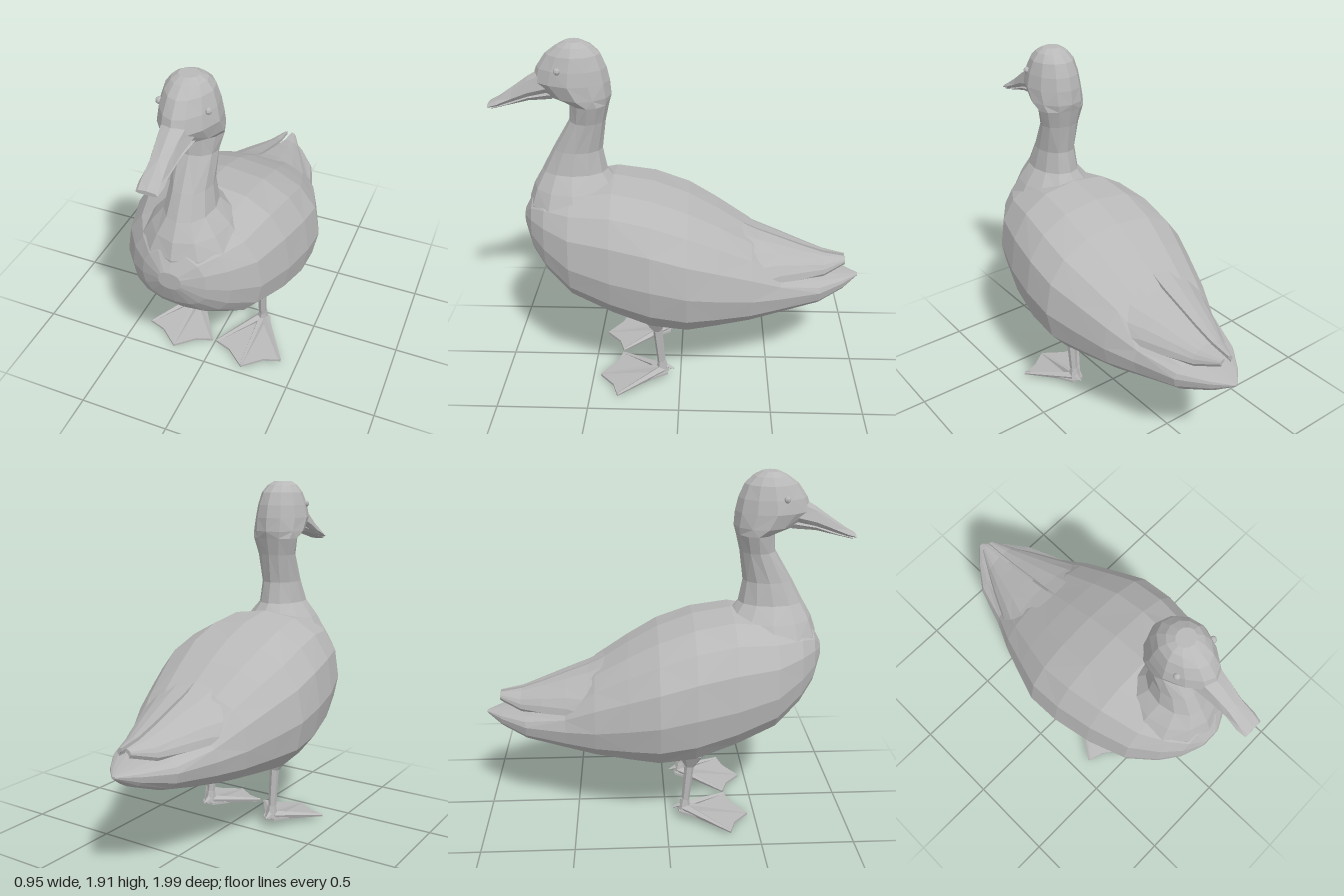
import * as THREE from 'three';

const V = (x, y, z) => new THREE.Vector3(x, y, z);
const plumage = new THREE.MeshStandardMaterial({ color: 0xb8b8b8, flatShading: true });
plumage.name = 'plain grey';

// Closed skin through a list of rings, turned so its faces point outward
function loft(rings) {
  const n = rings[0].length, pts = rings.flat(), idx = [];
  for (let r = 0; r < rings.length - 1; r++) {
    for (let i = 0; i < n; i++) {
      const a = r * n + i, b = r * n + (i + 1) % n;
      // alternate the diagonals for a faceted look
      if ((r + i) % 2) idx.push(a, b, a + n, b, b + n, a + n);
      else idx.push(a, b, b + n, a, b + n, a + n);
    }
  }
  const cap = (r, flip) => {
    const c = pts.length;
    pts.push(rings[r].reduce((s, p) => s.add(p), V(0, 0, 0)).divideScalar(n));
    for (let i = 0; i < n; i++) {
      const a = r * n + i, b = r * n + (i + 1) % n;
      idx.push(c, flip ? b : a, flip ? a : b);
    }
  };
  cap(0, true);
  cap(rings.length - 1, false);
  let volume = 0;
  for (let i = 0; i < idx.length; i += 3) {
    volume += pts[idx[i]].dot(pts[idx[i + 1]].clone().cross(pts[idx[i + 2]]));
  }
  if (volume < 0) idx.reverse();
  const g = new THREE.BufferGeometry().setFromPoints(pts);
  g.setIndex(idx);
  g.computeVertexNormals();
  return g;
}

const angles = (n) => Array.from({ length: n }, (_, i) => (i / n) * Math.PI * 2);
const power = (v, e) => Math.sign(v) * Math.abs(v) ** e;

// Upright ring across z: top, bottom, height of the widest point, half width
const ringZ = ([z, top, bottom, mid, hw], n = 16, e = 0.85) => angles(n).map((a) => {
  const s = power(Math.sin(a), e);
  return V(hw * power(Math.cos(a), e), mid + s * (s > 0 ? top - mid : mid - bottom), z);
});

// Level ring across y: front z, back z, half width, narrowing towards the front
const ringY = ([y, front, back, hw, taper], n = 12) => angles(n).map((a) => {
  const s = Math.sin(a);
  return V(hw * Math.cos(a) * (1 - taper * Math.max(0, s)), y, (front + back) / 2 + s * (front - back) / 2);
});

function add(parent, name, geometry) {
  const m = new THREE.Mesh(geometry, plumage);
  m.name = name;
  parent.add(m);
  return m;
}

// Tapered four-to-six-sided rod between two points
function rod(parent, name, a, b, ra, rb, sides = 5) {
  const m = add(parent, name, new THREE.CylinderGeometry(rb, ra, a.distanceTo(b), sides));
  m.position.copy(a).lerp(b, 0.5);
  m.quaternion.setFromUnitVectors(V(0, 1, 0), b.clone().sub(a).normalize());
  return m;
}

// Thin folded wing half lying over the back
function wingGeometry(side) {
  const sections = [ // z, spine height, edge height, half width
    [-0.3, 0.92, 0.62, 0.37], [-0.42, 0.865, 0.62, 0.32], [-0.54, 0.82, 0.65, 0.245],
    [-0.67, 0.77, 0.655, 0.175], [-0.79, 0.73, 0.65, 0.105], [-0.91, 0.71, 0.685, 0.03],
  ];
  return loft(sections.map(([z, top, edge, hw]) => {
    const upper = [], lower = [];
    for (let i = 0; i <= 5; i++) {
      const a = (i / 5) * Math.PI / 2;
      const x = 0.006 + 0.012 * (-0.3 - z) + hw * Math.sin(a) * 0.96;
      const y = edge + (top - edge) * Math.cos(a);
      upper.push(V(side * x, y, z));
      lower.unshift(V(side * (x - 0.012 * Math.sin(a)), y - 0.018, z));
    }
    return [...upper, ...lower];
  }));
}

function makeLeg(side) {
  const leg = new THREE.Group();
  leg.name = side > 0 ? 'leftLeg' : 'rightLeg';
  leg.position.x = side * 0.21;

  rod(leg, 'thigh', V(0, 0.42, 0.14), V(0, 0.33, 0.13), 0.085, 0.03, 6);
  rod(leg, 'shank', V(0, 0.36, 0.13), V(0, 0.09, 0.105), 0.027, 0.022, 6);
  rod(leg, 'ankle', V(0, 0.12, 0.105), V(0, 0.05, 0.1), 0.024, 0.038, 6);
  rod(leg, 'hindToe', V(0, 0.085, 0.09), V(0, 0.062, 0.035), 0.018, 0.004, 4);

  // webbing with a scalloped front edge, sloping down to the toes
  const web = new THREE.Shape([
    [-0.035, 0.07], [0.035, 0.07], [0.1, 0.22], [0.2, 0.345], [0.105, 0.375],
    [0, 0.46], [-0.105, 0.375], [-0.2, 0.345], [-0.1, 0.22],
  ].map(([x, z]) => new THREE.Vector2(x, z)));
  const g = new THREE.ExtrudeGeometry(web, { depth: 0.014, bevelEnabled: false });
  const p = g.attributes.position;
  for (let i = 0; i < p.count; i++) {
    const z = p.getY(i);
    p.setXYZ(i, -p.getX(i), 0.046 - 0.118 * (z - 0.07) + p.getZ(i), z);
  }
  g.computeVertexNormals();
  add(leg, 'web', g);

  for (const [x, z, y] of [[0, 0.455, 0.01], [0.195, 0.345, 0.023], [-0.195, 0.345, 0.023]]) {
    rod(leg, 'toe', V(x * 0.05, 0.066, 0.1), V(x, y, z), 0.026, 0.008, 5);
  }
  return leg;
}

export function createModel() {
  const bird = new THREE.Group();
  bird.name = 'bird';

  // body and tail: z, top, bottom, widest height, half width
  add(bird, 'body', loft([
    [0.85, 0.99, 0.89, 0.94, 0.06], [0.8, 1.08, 0.76, 0.9, 0.17], [0.72, 1.12, 0.65, 0.86, 0.265],
    [0.58, 1.15, 0.53, 0.8, 0.37], [0.36, 1.185, 0.435, 0.76, 0.44], [0.15, 1.15, 0.355, 0.73, 0.475],
    [-0.04, 1.08, 0.34, 0.69, 0.475], [-0.2, 0.99, 0.36, 0.65, 0.42], [-0.38, 0.875, 0.385, 0.61, 0.355],
    [-0.54, 0.73, 0.415, 0.585, 0.28], [-0.76, 0.645, 0.465, 0.58, 0.205],
    [-0.9, 0.615, 0.52, 0.585, 0.1], [-0.99, 0.595, 0.582, 0.59, 0.012],
  ].map((s) => ringZ(s))));

  add(bird, 'leftWing', wingGeometry(1));
  add(bird, 'rightWing', wingGeometry(-1));

  // neck and head: y, front, back, half width, taper
  add(bird, 'neckAndHead', loft([
    [0.95, 0.82, 0.25, 0.28, 0], [1.05, 0.825, 0.29, 0.25, 0], [1.135, 0.795, 0.33, 0.195, 0],
    [1.22, 0.745, 0.395, 0.125, 0], [1.34, 0.68, 0.417, 0.105, 0], [1.5, 0.585, 0.395, 0.11, 0],
    [1.595, 0.58, 0.372, 0.135, 0.1], [1.635, 0.69, 0.36, 0.148, 0.25], [1.71, 0.765, 0.365, 0.15, 0.3],
    [1.78, 0.74, 0.38, 0.137, 0.25], [1.85, 0.69, 0.41, 0.115, 0.2], [1.89, 0.635, 0.455, 0.085, 0.1],
    [1.912, 0.59, 0.5, 0.05, 0],
  ].map((s) => ringY(s))));

  // bill in two halves
  add(bird, 'upperBill', loft([
    [0.66, 1.8, 1.655, 1.69, 0.085], [0.785, 1.73, 1.625, 1.655, 0.066], [0.87, 1.67, 1.597, 1.62, 0.055],
    [0.95, 1.615, 1.573, 1.588, 0.06], [1, 1.587, 1.565, 1.572, 0.052],
  ].map((s) => ringZ(s, 8, 0.8))));
  add(bird, 'lowerBill', loft([
    [0.66, 1.68, 1.615, 1.65, 0.075], [0.785, 1.635, 1.605, 1.625, 0.055],
    [0.9, 1.59, 1.578, 1.585, 0.046], [0.985, 1.57, 1.557, 1.564, 0.045],
  ].map((s) => ringZ(s, 8, 0.8))));

  for (const side of [1, -1]) {
    const eye = add(bird, side > 0 ? 'leftEye' : 'rightEye', new THREE.SphereGeometry(0.018, 8, 6));
    eye.position.set(side * 0.118, 1.785, 0.615);
    bird.add(makeLeg(side));
  }
  return bird;
}
